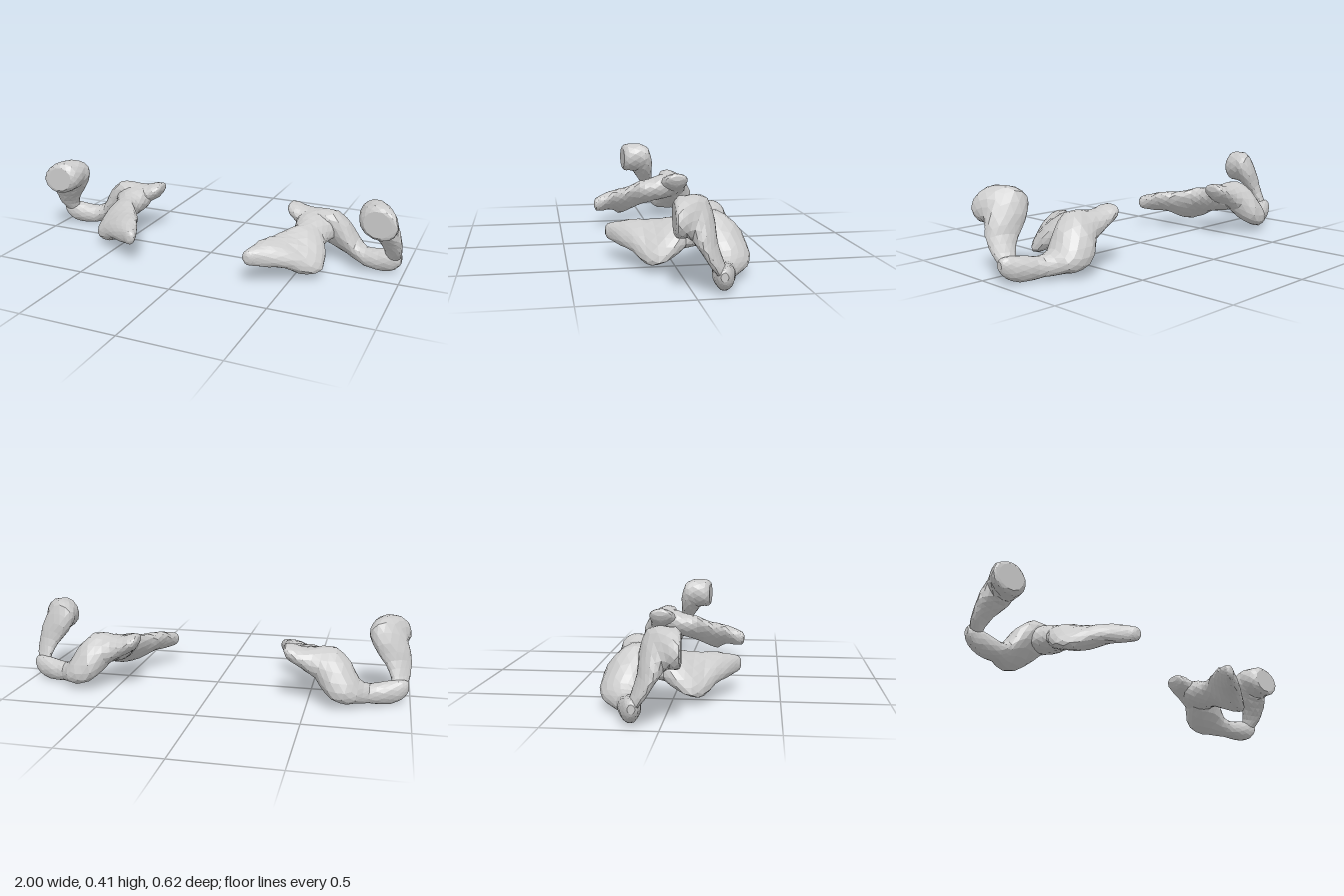
import * as THREE from 'three';

const material = new THREE.MeshStandardMaterial({ color: 0xcccccc, flatShading: true, side: THREE.DoubleSide });
const SIDES = 14;

// Each section is [centre, half axis A, half axis B]; the skin passes smoothly through all of them.
function loft(sections, side, steps) {
  const [centre, axisA, axisB] = [0, 1, 2].map((k) =>
    new THREE.CatmullRomCurve3(sections.map((s) => new THREE.Vector3(...s[k])), false, 'catmullrom', 0.5));
  const rings = (sections.length - 1) * steps;
  const pos = [], index = [];
  const put = (p) => pos.push(p.x * side, Math.max(p.y, 0), p.z);
  for (let i = 0; i <= rings; i++) {
    const t = i / rings;
    const c = centre.getPoint(t), a = axisA.getPoint(t), b = axisB.getPoint(t);
    for (let j = 0; j < SIDES; j++) {
      const w = (j + (i % 2) * 0.5) / SIDES * Math.PI * 2;
      const bump = 1.02 + 0.035 * Math.sin(i * 2.3 + j * 1.7) * Math.cos(j * 2.9 - i);
      put(c.clone().addScaledVector(a, Math.cos(w) * bump).addScaledVector(b, Math.sin(w) * bump));
    }
  }
  put(centre.getPoint(0));
  put(centre.getPoint(1));

  // Choose the winding that faces outwards
  const along = centre.getPoint(0.1).sub(centre.getPoint(0));
  const out = axisA.getPoint(0).cross(axisB.getPoint(0)).dot(along) * side > 0;
  const tri = (a, b, c) => (out ? index.push(a, b, c) : index.push(a, c, b));
  const first = (rings + 1) * SIDES, last = rings * SIDES;
  for (let j = 0; j < SIDES; j++) {
    const k = (j + 1) % SIDES;
    for (let i = 0; i < rings; i++) {
      const p = i * SIDES, q = p + SIDES;
      if (i % 2) {
        tri(p + j, p + k, q + k);
        tri(p + j, q + k, q + j);
      } else {
        tri(p + j, p + k, q + j);
        tri(p + k, q + k, q + j);
      }
    }
    tri(first, k, j);
    tri(first + 1, last + j, last + k);
  }
  const geo = new THREE.BufferGeometry();
  geo.setAttribute('position', new THREE.Float32BufferAttribute(pos, 3));
  geo.setIndex(index);
  geo.computeVertexNormals();
  return geo;
}

// Knob set askew in plan, flattening into a broad strap that runs down to the arm
const knob = [
  [[0.893, 0.32, 0.08], [0.07, -0.005, 0.005], [0, 0.065, 0]],
  [[0.891, 0.322, 0.062], [0.095, -0.008, 0.018], [0, 0.083, 0]],
  [[0.886, 0.325, 0.008], [0.098, -0.012, 0.035], [0, 0.086, -0.008]],
  [[0.88, 0.308, -0.032], [0.09, -0.02, 0.038], [0, 0.08, -0.025]],
  [[0.905, 0.248, -0.055], [0.083, -0.01, 0.034], [0, 0.048, -0.032]],
  [[0.933, 0.19, -0.068], [0.062, 0, 0.026], [0, 0.025, -0.026]],
  [[0.946, 0.13, -0.094], [0.046, 0, 0.02], [0, 0.01, -0.024]],
  [[0.94, 0.07, -0.128], [0.032, 0, 0.005], [0, 0, -0.025]],
];

// Curved arm, sweeping inwards and swelling before the rear tip
const arm = [
  [[0.988, 0.085, -0.115], [0, 0.02, 0], [0, 0, 0.016]],
  [[0.973, 0.08, -0.12], [0, 0.04, 0], [0, 0, 0.028]],
  [[0.935, 0.068, -0.13], [0, 0.056, 0], [0, 0, 0.039]],
  [[0.87, 0.058, -0.143], [0, 0.057, 0], [0, 0, 0.049]],
  [[0.8, 0.056, -0.16], [0, 0.048, 0], [0, 0, 0.054]],
  [[0.74, 0.077, -0.203], [0.01, 0.055, 0], [0, 0.01, 0.078]],
  [[0.68, 0.123, -0.21], [0.025, 0.075, 0], [0, 0.045, 0.098]],
  [[0.61, 0.174, -0.203], [0.025, 0.088, 0], [0, 0.05, 0.1]],
  [[0.55, 0.205, -0.178], [0.015, 0.07, 0], [0, 0.02, 0.08]],
  [[0.475, 0.22, -0.172], [0.01, 0.05, 0], [0, 0, 0.077]],
  [[0.415, 0.247, -0.178], [0.012, 0.039, 0], [0, 0, 0.068]],
  [[0.387, 0.259, -0.18], [0, 0.029, 0], [0, 0, 0.054]],
  [[0.377, 0.263, -0.18], [0, 0.013, 0], [0, 0, 0.035]],
];

// Flattened blade, blending into the arm at a broad throat and tapering forwards
const blade = [
  [[0.55, 0.2, -0.2], [0.09, -0.015, 0], [0.015, 0.06, 0]],
  [[0.542, 0.195, -0.14], [0.106, -0.025, 0], [0.02, 0.07, 0]],
  [[0.535, 0.186, -0.09], [0.092, -0.03, 0], [0.022, 0.068, 0]],
  [[0.532, 0.17, -0.03], [0.076, -0.035, 0], [0.022, 0.06, 0]],
  [[0.54, 0.152, 0.03], [0.095, -0.055, 0], [0.02, 0.058, 0]],
  [[0.517, 0.127, 0.1], [0.122, -0.066, 0], [0.02, 0.055, 0]],
  [[0.482, 0.123, 0.15], [0.118, -0.066, 0], [0.02, 0.053, 0]],
  [[0.432, 0.14, 0.2], [0.094, -0.04, 0], [0.01, 0.049, 0]],
  [[0.379, 0.14, 0.25], [0.066, -0.022, 0], [0.008, 0.045, 0]],
  [[0.335, 0.14, 0.29], [0.036, -0.01, 0], [0.005, 0.038, 0]],
  [[0.327, 0.14, 0.303], [0.026, -0.006, 0], [0.003, 0.03, 0]],
  [[0.324, 0.14, 0.31], [0.012, -0.003, 0], [0.002, 0.016, 0]],
];

export function createModel() {
  const model = new THREE.Group();
  model.name = 'bonePair';
  for (const [name, side] of [['leftBone', 1], ['rightBone', -1]]) {
    const bone = new THREE.Group();
    bone.name = name;
    for (const [part, sections] of Object.entries({ knob, arm, blade })) {
      const mesh = new THREE.Mesh(loft(sections, side, 2), material);
      mesh.name = part;
      bone.add(mesh);
    }
    model.add(bone);
  }
  return model;
}
